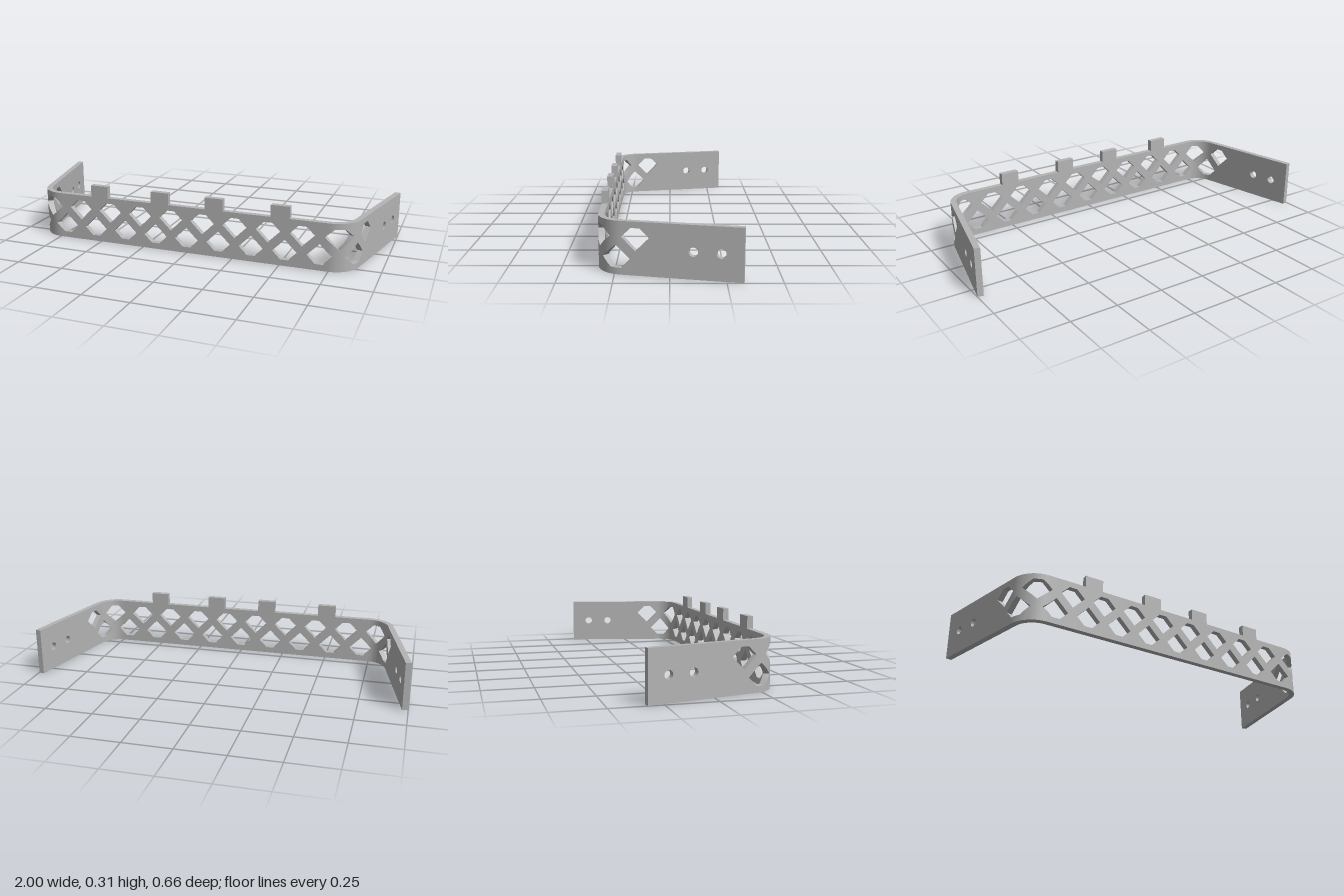
import * as THREE from 'three';
import { toCreasedNormals } from 'three/addons/utils/BufferGeometryUtils.js';

const HEIGHT = 0.25, THICK = 0.03, FRONT_Z = 0.33;
const TURN = 1.356;      // angle of each corner bend
const RADIUS = 0.139;    // outer bend radius
const BEND_START = 0.745, BEND_LEN = 0.155, END = 1.457;

// Point on the bent strip: s runs along it, depth goes inward from the outer face
function place(s, y, depth) {
  const side = Math.sign(s) || 1, d = Math.abs(s);
  const angle = TURN * THREE.MathUtils.clamp((d - BEND_START) / BEND_LEN, 0, 1);
  const straight = Math.max(0, d - BEND_START - BEND_LEN);
  const r = RADIUS - depth;
  const x = Math.min(d, BEND_START) + r * Math.sin(angle) + straight * Math.cos(angle);
  const z = FRONT_Z - RADIUS + r * Math.cos(angle) - straight * Math.sin(angle);
  return [side * x, y, z];
}

// Diamond window with one clipped tip; returns its y range at s
function diamond(c, cy, clipTop) {
  const half = 0.064, clip = 0.043;
  return {
    c, half,
    stops: [-half, clip - half, 0, half - clip, half].map(v => c + v),
    range(s) {
      const h = Math.max(0, half - Math.abs(s - c));
      return [cy - (clipTop ? h : Math.min(h, clip)), cy + (clipTop ? Math.min(h, clip) : h)];
    },
  };
}

// Round screw hole
function round(c, cy, r) {
  const stops = [];
  for (let i = 0; i <= 14; i++) stops.push(c - r * Math.cos(Math.PI * i / 14));
  return {
    c, half: r, stops,
    range(s) {
      const h = Math.sqrt(Math.max(0, r * r - (s - c) ** 2));
      return [cy - h, cy + h];
    },
  };
}

function bracketGeometry() {
  const pitch = 0.176, holes = [];
  for (let i = -5; i <= 5; i++) holes.push(diamond(i * pitch, 0.075, false));
  for (let i = -6; i < 6; i++) holes.push(diamond((i + 0.5) * pitch, 0.177, true));
  for (const side of [-1, 1])
    for (const s of [1.232, 1.357]) holes.push(round(side * s, 0.126, 0.0215));

  // Cut the strip into columns at every hole corner and bend step
  const stops = [-END, END, ...holes.flatMap(h => h.stops)];
  for (let i = 0; i <= 20; i++) {
    const s = BEND_START + BEND_LEN * i / 20;
    stops.push(s, -s);
  }
  const cuts = [...new Set(stops.map(s => Math.round(s * 1e5)))].sort((a, b) => a - b).map(v => v / 1e5);

  const pos = [];
  const quad = (...p) => {
    const [a, b, c, d] = p.map(q => place(...q));
    pos.push(...a, ...b, ...c, ...a, ...c, ...d);
  };
  for (let i = 0; i + 1 < cuts.length; i++) {
    const a = cuts[i], b = cuts[i + 1], mid = (a + b) / 2;
    const open = holes.filter(h => Math.abs(mid - h.c) < h.half)
      .sort((p, q) => p.range(mid)[0] - q.range(mid)[0]);
    // Solid bands lie between the holes of this column
    const edges = s => [0, ...open.flatMap(h => h.range(s)), HEIGHT];
    const ea = edges(a), eb = edges(b);
    for (let k = 0; k < ea.length; k += 2) {
      const la = ea[k], ha = ea[k + 1], lb = eb[k], hb = eb[k + 1];
      quad([a, la, 0], [b, lb, 0], [b, hb, 0], [a, ha, 0]);
      quad([b, lb, THICK], [a, la, THICK], [a, ha, THICK], [b, hb, THICK]);
      quad([a, ha, 0], [b, hb, 0], [b, hb, THICK], [a, ha, THICK]);
      quad([a, la, THICK], [b, lb, THICK], [b, lb, 0], [a, la, 0]);
    }
  }
  // End faces
  quad([END, 0, 0], [END, 0, THICK], [END, HEIGHT, THICK], [END, HEIGHT, 0]);
  quad([-END, 0, THICK], [-END, 0, 0], [-END, HEIGHT, 0], [-END, HEIGHT, THICK]);

  const geo = new THREE.BufferGeometry();
  geo.setAttribute('position', new THREE.Float32BufferAttribute(pos, 3));
  return toCreasedNormals(geo, 0.45);
}

export function createModel() {
  const model = new THREE.Group();
  model.name = 'latticeBracket';
  const grey = new THREE.MeshStandardMaterial({ color: 0xb4b4b4 });
  grey.name = 'grey';

  const strip = new THREE.Mesh(bracketGeometry(), grey);
  strip.name = 'bentLatticeStrip';
  model.add(strip);

  // Tabs along the top edge
  const tabHeight = 0.0625;
  for (const x of [-0.5, -0.15, 0.15, 0.5]) {
    const tab = new THREE.Mesh(new THREE.BoxGeometry(0.098, tabHeight, THICK), grey);
    tab.position.set(x, HEIGHT + tabHeight / 2, FRONT_Z - THICK / 2);
    tab.name = 'topTab';
    model.add(tab);
  }
  return model;
}
